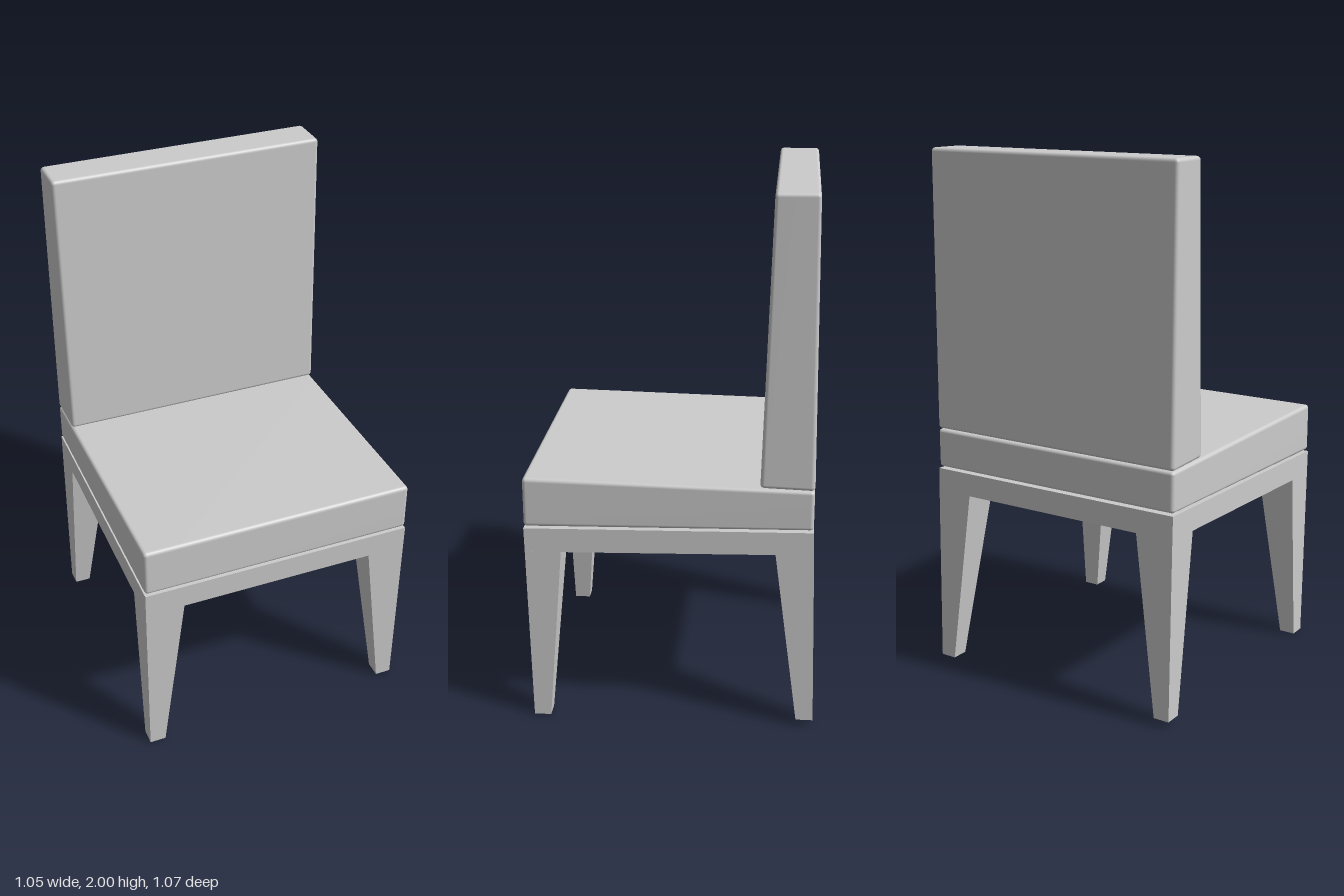
import * as THREE from 'three';
import { RoundedBoxGeometry } from 'three/addons/geometries/RoundedBoxGeometry.js';
import { mergeVertices } from 'three/addons/utils/BufferGeometryUtils.js';

const HALF_WIDTH = 0.525;

// Move every vertex of a geometry by a rule
function reshape(geometry, rule) {
  const p = geometry.attributes.position;
  const v = new THREE.Vector3();
  for (let i = 0; i < p.count; i++) {
    rule(v.fromBufferAttribute(p, i));
    p.setXYZ(i, v.x, v.y, v.z);
  }
  geometry.computeVertexNormals();
  return geometry;
}

// Bend a w x h x d box to a side profile of four [z, y] corners
function toProfile(h, d, { frontTop, frontBottom, backTop, backBottom }) {
  const mix = THREE.MathUtils.lerp;
  return (v) => {
    const t = v.y / h + 0.5;
    const u = v.z / d + 0.5;
    const at = (k) => mix(mix(backBottom[k], frontBottom[k], u), mix(backTop[k], frontTop[k], u), t);
    v.z = at(0);
    v.y = at(1);
  };
}

// Upholstered block with small soft edges
function cushion(h, d, profile) {
  const box = new RoundedBoxGeometry(2 * HALF_WIDTH, h, d, 3, 0.014);
  box.deleteAttribute('normal');
  box.deleteAttribute('uv');
  return reshape(mergeVertices(box, 1e-5), toProfile(h, d, profile));
}

// Square leg: straight outside, tapering on the two inner faces
function leg(sx, { sz, topY, footY, topZ, footZ }) {
  return reshape(new THREE.BoxGeometry(1, 1, 1), (v) => {
    const top = v.y > 0;
    const outerX = v.x * sx > 0;
    const outerZ = v.z * sz > 0;
    v.x = sx * (outerX ? HALF_WIDTH : top ? 0.376 : 0.463);
    v.z = (top ? topZ : footZ)[outerZ ? 0 : 1];
    v.y = top ? topY[outerZ ? 0 : 1] : footY;
  });
}

export function createModel() {
  const chair = new THREE.Group();
  chair.name = 'chair';
  const material = new THREE.MeshStandardMaterial({ color: 0xcccccc });
  const add = (name, geometry) => {
    const mesh = new THREE.Mesh(geometry, material);
    mesh.name = name;
    chair.add(mesh);
  };

  add('seatCushion', cushion(0.17, 1.05, {
    frontTop: [0.535, 0.965], frontBottom: [0.535, 0.776],
    backTop: [-0.514, 0.946], backBottom: [-0.514, 0.797],
  }));

  add('backrest', cushion(1.05, 0.175, {
    frontTop: [-0.35, 2.0], frontBottom: [-0.32, 0.954],
    backTop: [-0.502, 2.0], backBottom: [-0.515, 0.948],
  }));

  // Solid frame under the cushion, sloping gently up towards the back
  add('seatFrame', reshape(new THREE.BoxGeometry(2 * HALF_WIDTH, 1, 1), toProfile(1, 1, {
    frontTop: [0.535, 0.77], frontBottom: [0.533, 0.677],
    backTop: [-0.515, 0.79], backBottom: [-0.518, 0.703],
  })));

  // Leg heights and depths are listed outer corner first, then inner
  const front = { sz: 1, topY: [0.677, 0.68], footY: 0, topZ: [0.533, 0.4], footZ: [0.52, 0.457] };
  const back = { sz: -1, topY: [0.703, 0.7], footY: 0.025, topZ: [-0.518, -0.38], footZ: [-0.534, -0.47] };
  for (const [sx, side] of [[1, 'Left'], [-1, 'Right']]) {
    add(`front${side}Leg`, leg(sx, front));
    add(`back${side}Leg`, leg(sx, back));
  }

  return chair;
}
